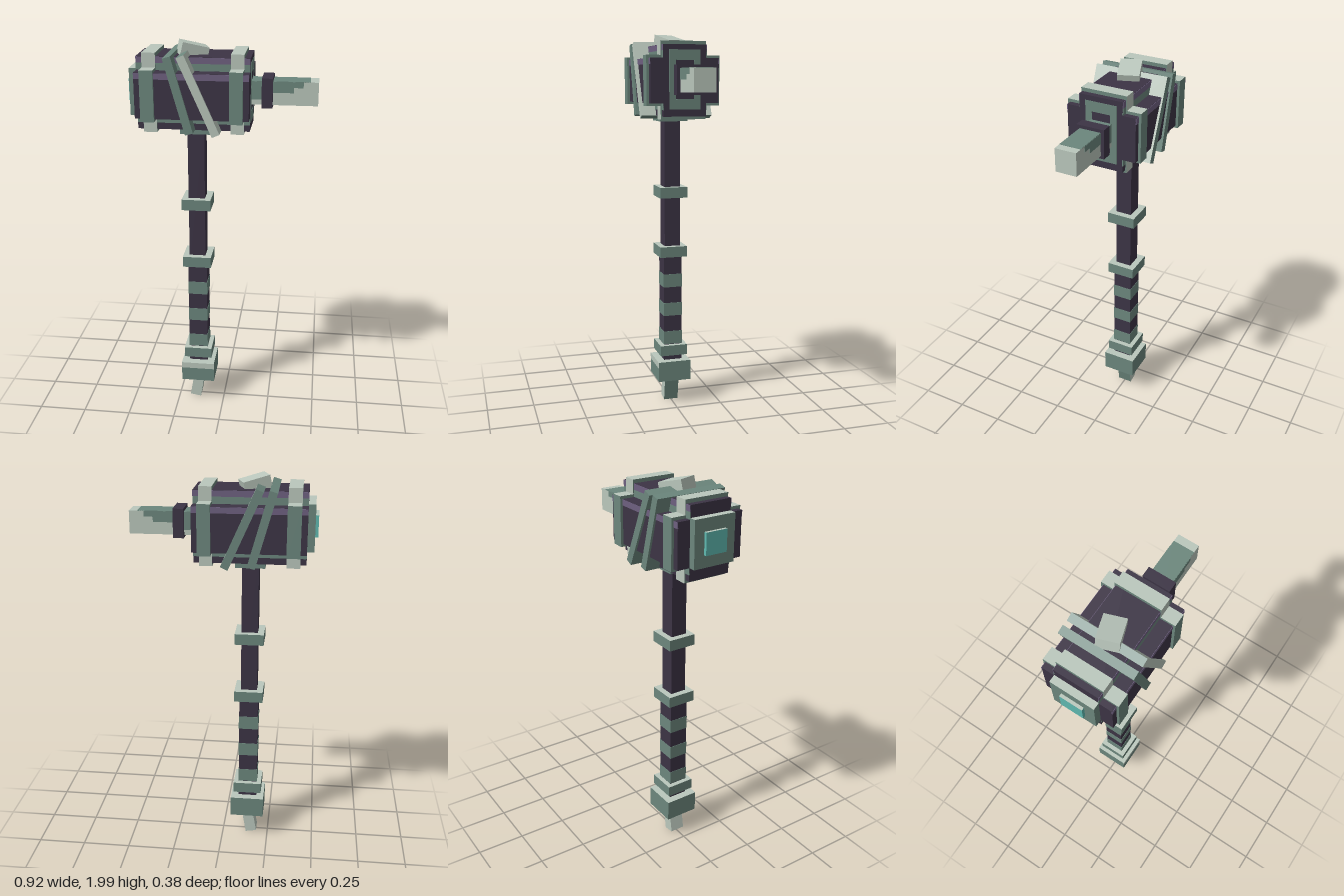
import * as THREE from 'three';

const mat = (name, color) => {
  const m = new THREE.MeshStandardMaterial({ color });
  m.name = name;
  return m;
};

export function createModel() {
  const dark = mat('dark wood', 0x3c3445);
  const mid = mat('green metal', 0x6c877d);
  const pale = mat('pale metal', 0xbac7bc);
  const purple = mat('purple edge', 0x6e6080);
  const teal = mat('teal gem', 0x5fb9b0);
  const paleTop = [mid, mid, pale, mid, mid, mid]; // +x -x +y -y +z -z

  const model = new THREE.Group();
  model.name = 'hammer';

  // box given by its extents on each axis
  function box(name, material, [x0, x1], [y0, y1], [z0, z1], parent = model) {
    const mesh = new THREE.Mesh(new THREE.BoxGeometry(x1 - x0, y1 - y0, z1 - z0), material);
    mesh.position.set((x0 + x1) / 2, (y0 + y1) / 2, (z0 + z1) / 2);
    mesh.name = name;
    parent.add(mesh);
    return mesh;
  }
  const sym = (h) => [-h, h];

  // handle, built around its own axis
  const handle = new THREE.Group();
  handle.name = 'handle';
  handle.position.x = -0.137;
  model.add(handle);
  const post = (name, material, y0, y1, half) =>
    box(name, material, sym(half), [y0, y1], sym(half), handle);
  post('shaft', dark, 0.83, 1.6, 0.042);
  post('grip', dark, 0.24, 0.84, 0.049);
  for (const y of [0.34, 0.5, 0.66]) post('gripWrap', mid, y, y + 0.072, 0.051);
  for (const y of [0.28, 0.83, 1.15, 1.553]) post('collar', paleTop, y, y + 0.057, 0.074);
  post('pommel', paleTop, 0.14, 0.25, 0.089);
  box('pommelTrim', pale, sym(0.089), [0.217, 0.25], [0.088, 0.0905], handle);

  // tilted pommel spike
  const tip = box('pommelSpike', [mid, pale, pale, pale, pale, pale],
    [-0.173, -0.114], [0.006, 0.186], sym(0.039));
  tip.rotation.z = -0.17;

  // head: two crossed blocks with stepped corners
  const hx = [-0.41, 0.136];
  box('headCore', dark, hx, [1.585, 1.935], sym(0.11));
  box('headSides', dark, hx, [1.65, 1.87], sym(0.175));

  // painted strips along the head
  for (const s of [-1, 1]) {
    const strip = (name, m, y, z) => {
      const p = [s * (z - 0.003), s * (z + 0.002)].sort((a, b) => a - b);
      box(name, m, hx, y, p);
    };
    strip('upperEdge', purple, [1.905, 1.934], 0.11);
    strip('upperTrim', mid, [1.871, 1.905], 0.11);
    strip('sideEdge', purple, [1.84, 1.869], 0.175);
    strip('lowerTrim', mid, [1.617, 1.649], 0.11);
  }

  // stepped bands around the head
  for (const x of [[-0.381, -0.315], [0.044, 0.108]]) {
    box('bandVertical', [mid, mid, pale, mid, pale, pale], x, [1.57, 1.953], sym(0.116));
    box('bandSides', paleTop, x, [1.637, 1.884], sym(0.188));
  }

  // slanted straps running right through the head
  const straps = [
    { top: [-0.25, 1.945], bottom: [-0.148, 1.583], skin: mid },
    { top: [-0.186, 1.95], bottom: [-0.02, 1.578], skin: [pale, mid, mid, mid, pale, mid] },
  ];
  for (const { top, bottom, skin } of straps) {
    const dx = top[0] - bottom[0], dy = top[1] - bottom[1];
    const strap = new THREE.Mesh(new THREE.BoxGeometry(0.04, Math.hypot(dx, dy), 0.372), skin);
    strap.position.set((top[0] + bottom[0]) / 2, (top[1] + bottom[1]) / 2, 0);
    strap.rotation.z = Math.atan2(-dx, dy);
    strap.name = 'strap';
    model.add(strap);
  }

  // loose block on top of the head
  const block = box('topBlock', pale, [-0.219, -0.086], [1.912, 1.982], sym(0.052));
  block.rotation.set(0, 0.34, -0.24, 'YXZ');

  // striking plate with gem on the -x end
  box('strikePlate', paleTop, [-0.445, -0.4], [1.65, 1.878], sym(0.11));
  box('gem', [teal, teal, pale, teal, teal, teal], [-0.46, -0.44], [1.71, 1.817], sym(0.057));

  // painted frame on the +x end
  const frame = new THREE.Shape([[-0.08, 1.62], [0.08, 1.62], [0.08, 1.91], [-0.08, 1.91]]
    .map(([a, b]) => new THREE.Vector2(a, b)));
  frame.holes.push(new THREE.Path([[-0.047, 1.67], [-0.047, 1.86], [0.047, 1.86], [0.047, 1.67]]
    .map(([a, b]) => new THREE.Vector2(a, b))));
  const endFrame = new THREE.Mesh(
    new THREE.ExtrudeGeometry(frame, { depth: 0.003, bevelEnabled: false }), mid);
  endFrame.rotation.y = Math.PI / 2;
  endFrame.position.x = 0.135;
  endFrame.name = 'endFrame';
  model.add(endFrame);

  // horizontal spike and its collar
  box('spike', pale, [0.13, 0.457], [1.705, 1.818], sym(0.053));
  box('spikeTop', mid, [0.136, 0.417], [1.816, 1.8195], sym(0.053));
  box('spikeCollar', dark, [0.187, 0.24], [1.692, 1.835], sym(0.07));
  for (const s of [-1, 1]) {
    const z = s > 0 ? [0.051, 0.0545] : [-0.0545, -0.051];
    box('spikeRoot', mid, [0.136, 0.187], [1.73, 1.818], z);
    box('spikeStain', mid, [0.24, 0.385], [1.79, 1.818], z);
    box('spikeStain', mid, [0.24, 0.34], [1.765, 1.79], z);
  }

  return model;
}
